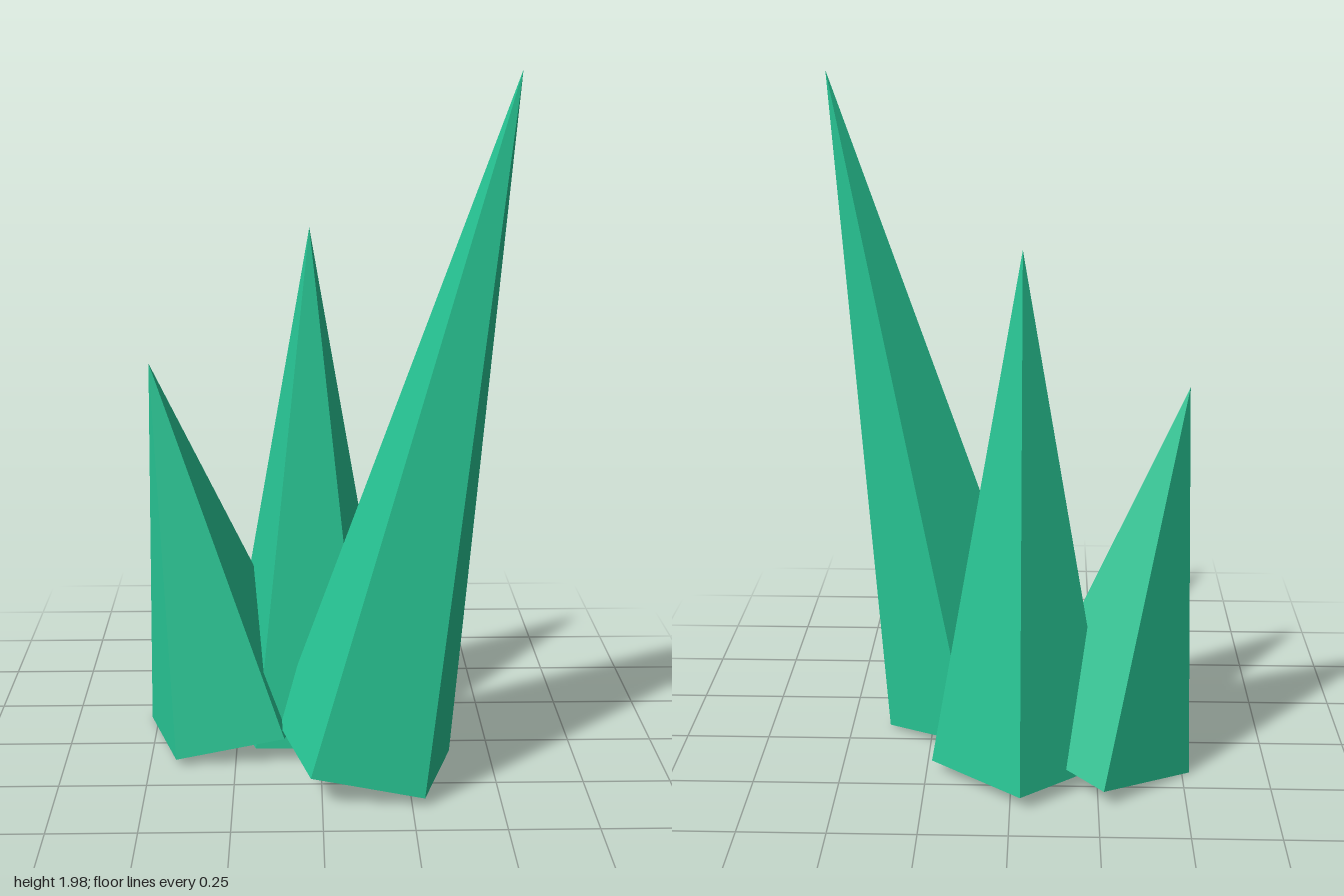
import * as THREE from 'three';

export function createModel() {
  const group = new THREE.Group();
  const emerald = new THREE.MeshStandardMaterial({ color: 0x27c493, flatShading: true });
  emerald.name = 'emerald green';

  // Five-sided crystal spike: stands on its base centre and leans sideways
  function addCrystal(name, height, [x, y, z], lean) {
    const geometry = new THREE.ConeGeometry(0.275, height, 5, 1, false, Math.PI);
    geometry.translate(0, height / 2, 0); // pivot at the base
    const crystal = new THREE.Mesh(geometry, emerald);
    crystal.name = name;
    crystal.position.set(x, y, z);
    crystal.rotation.z = lean;
    group.add(crystal);
  }

  addCrystal('middleCrystal', 1.5, [-0.029, 0.05, -0.105], 0);
  addCrystal('tallCrystal', 1.963, [0.126, 0.066, 0.157], -0.2);
  addCrystal('shortCrystal', 1.128, [-0.265, 0.06, -0.083], 0.2);

  return group;
}
